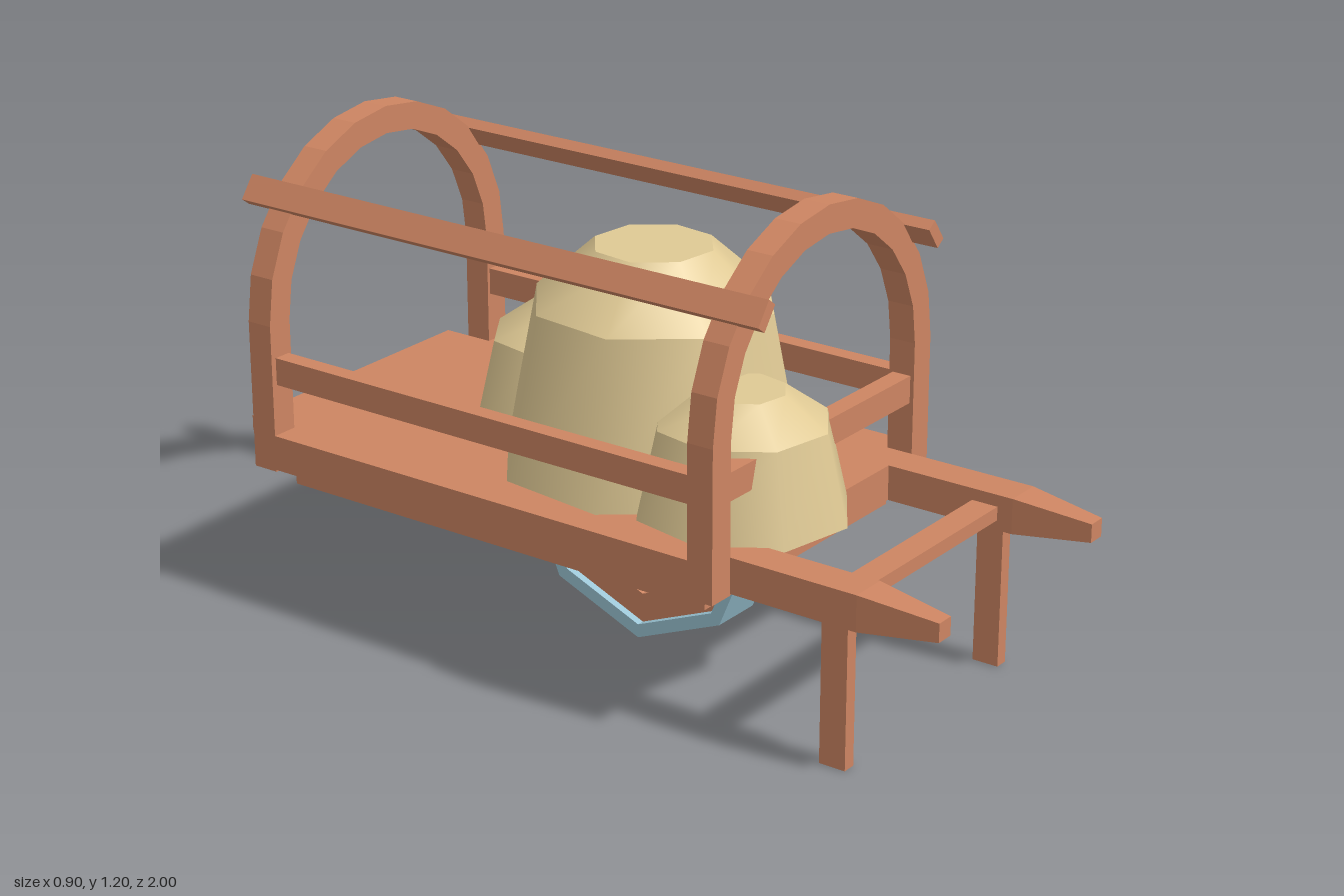
import * as THREE from 'three';

const wood = new THREE.MeshStandardMaterial({ color: 0xcd8562 });
const cloth = new THREE.MeshStandardMaterial({ color: 0xdfc994 });
const iron = new THREE.MeshStandardMaterial({ color: 0x9cc6d6 });

export function createModel() {
  const root = new THREE.Group();

  const add = (name, geometry, material = wood, parent = root) => {
    const mesh = new THREE.Mesh(geometry, material);
    mesh.name = name;
    parent.add(mesh);
    return mesh;
  };

  // Box given by its limits on each axis
  const box = (name, x0, x1, y0, y1, z0, z1) => {
    const mesh = add(name, new THREE.BoxGeometry(x1 - x0, y1 - y0, z1 - z0));
    mesh.position.set((x0 + x1) / 2, (y0 + y1) / 2, (z0 + z1) / 2);
    return mesh;
  };

  // Bed
  box('deck', -0.45, 0.45, 0.37, 0.46, -0.925, 0.455);
  box('underBoard', -0.38, 0.38, 0.31, 0.37, -0.86, 0.39);
  box('tailBar', -0.38, 0.38, 0.42, 0.46, -1, -0.92);
  box('frontPlank', -0.39, 0.39, 0.59, 0.66, 0.4, 0.45);
  box('legCrossbar', -0.3, 0.3, 0.395, 0.43, 0.69, 0.76);

  // Hoops: straight posts joined by a twelve-segment half circle
  const hoopShape = new THREE.Shape();
  const arc = (r, i) => [r * Math.cos(i * Math.PI / 12), 0.745 + r * Math.sin(i * Math.PI / 12)];
  hoopShape.moveTo(0.45, 0.365);
  for (let i = 0; i <= 12; i++) hoopShape.lineTo(...arc(0.45, i));
  hoopShape.lineTo(-0.45, 0.365);
  hoopShape.lineTo(-0.38, 0.365);
  for (let i = 12; i >= 0; i--) hoopShape.lineTo(...arc(0.38, i));
  hoopShape.lineTo(0.38, 0.365);
  const hoop = new THREE.ExtrudeGeometry(hoopShape, { depth: 0.07, bevelEnabled: false });
  add('frontHoop', hoop).position.z = 0.39;
  add('backHoop', hoop).position.z = -0.93;

  // Handle with a tapered tip
  const handleGeometry = () => {
    const g = new THREE.BoxGeometry(0.095, 0.09, 0.6, 1, 1, 2);
    const p = g.attributes.position;
    for (let i = 0; i < p.count; i++) {
      const z = p.getZ(i);
      if (z > 0.2) p.setXYZ(i, p.getX(i) * 0.5, p.getY(i) * 0.52, 0.3);
      else if (z > -0.1) p.setZ(i, 0.1);
    }
    const flat = g.toNonIndexed();
    flat.computeVertexNormals();
    return flat;
  };

  for (const [side, s] of [['left', 1], ['right', -1]]) {
    const pair = (name, x, w, y0, y1, z0, z1) =>
      box(side + name, s * x - w / 2, s * x + w / 2, y0, y1, z0, z1);
    pair('SideSlat', 0.412, 0.046, 0.59, 0.66, -0.87, 0.4);
    pair('Leg', 0.333, 0.035, 0, 0.4, 0.69, 0.76);
    add(side + 'Handle', handleGeometry()).position.set(s * 0.333, 0.415, 0.7);
    const rail = add(side + 'RoofRail', new THREE.BoxGeometry(0.03, 0.068, 1.53));
    rail.position.set(s * 0.348, 1.0435, -0.235);
    rail.rotation.z = s * 0.63;
  }

  // Sacks: stacked octagonal bands, creased at the shoulder
  const sack = (name, x, z, turn, rings) => {
    const group = new THREE.Group();
    group.name = name;
    group.position.set(x, 0, z);
    group.rotation.y = turn;
    for (let i = 0; i < rings.length - 1; i++) {
      const [r0, y0] = rings[i], [r1, y1] = rings[i + 1];
      add(i ? 'sackShoulder' : 'sackBody',
        new THREE.CylinderGeometry(r1, r0, y1 - y0, 8, 1, true), cloth, group).position.y = (y0 + y1) / 2;
    }
    const [rTop, yTop] = rings[rings.length - 1];
    const cap = add('sackTop', new THREE.CircleGeometry(rTop, 8), cloth, group);
    cap.rotation.x = -Math.PI / 2;
    cap.position.y = yTop;
    root.add(group);
  };
  const small = [[0.265, 0.45], [0.212, 0.675], [0.105, 0.752]];
  sack('largeSack', 0, -0.035, 0.27, [[0.385, 0.45], [0.302, 0.865], [0.15, 1.003]]);
  sack('frontSmallSack', -0.12, 0.31, 0.2, small);
  sack('backSmallSack', 0.12, -0.365, 0.2, small);

  // Octagonal wheel turning about x, its upper part hidden by the load
  const wheel = new THREE.Group();
  wheel.name = 'wheel';
  wheel.position.set(0, 0.347, -0.033);
  root.add(wheel);
  const octagon = (r) => Array.from({ length: 8 }, (_, i) =>
    new THREE.Vector2(r * Math.cos(i * Math.PI / 4), r * Math.sin(i * Math.PI / 4)));
  const ring = (name, outer, inner, width, material) => {
    const shape = new THREE.Shape(octagon(outer));
    shape.holes.push(new THREE.Path(octagon(inner)));
    const g = new THREE.ExtrudeGeometry(shape, { depth: width, bevelEnabled: false });
    g.translate(0, 0, -width / 2).rotateY(Math.PI / 2);
    add(name, g, material, wheel);
  };
  ring('tyre', 0.345, 0.31, 0.14, iron);
  ring('felloe', 0.31, 0.235, 0.1, wood);
  for (const a of [-Math.PI / 8, Math.PI * 3 / 8])
    add('spokes', new THREE.BoxGeometry(0.035, 0.46, 0.035), wood, wheel).rotation.x = a;

  return root;
}
